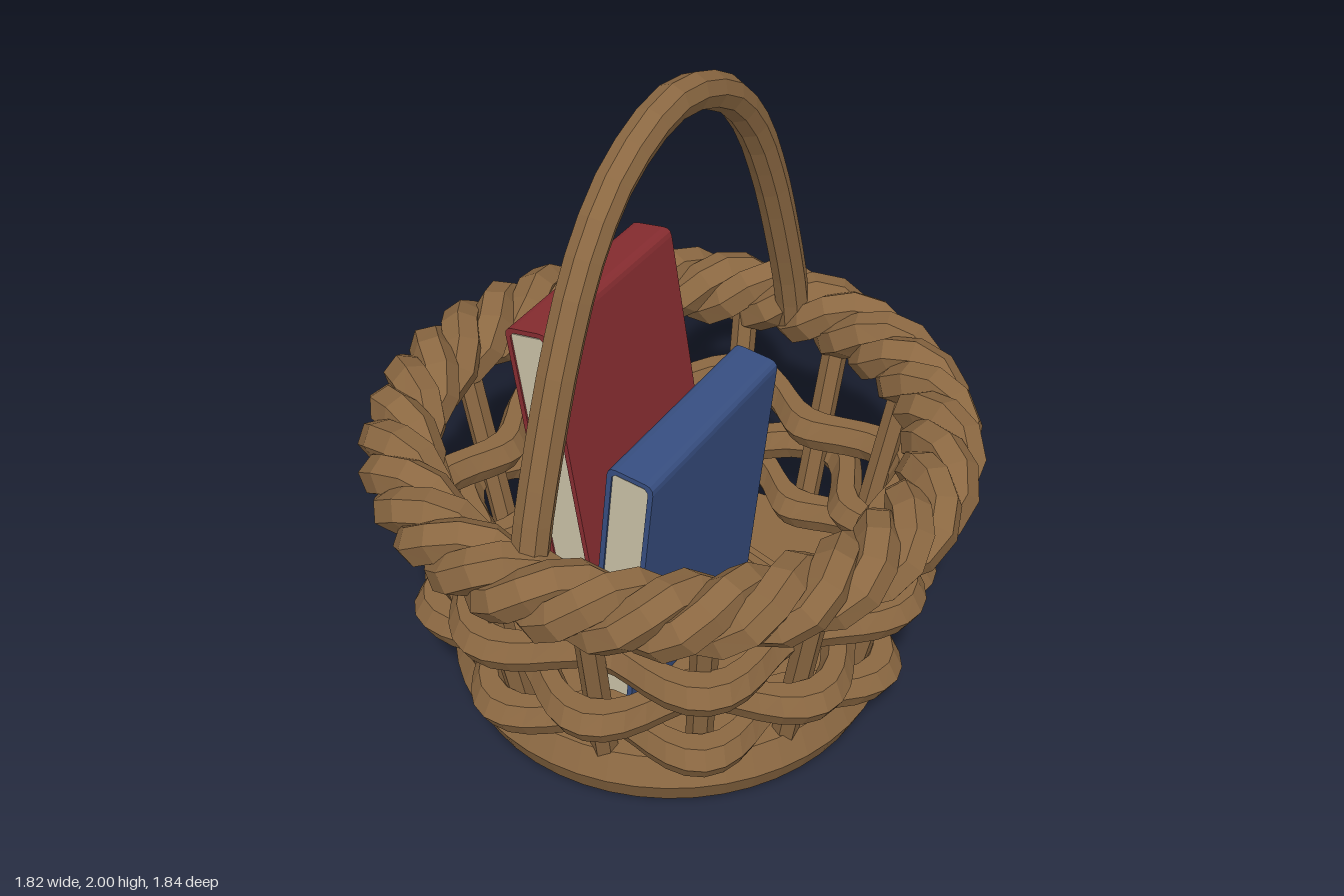
import * as THREE from 'three';

const mat = (name, color, flatShading = true) => {
  const m = new THREE.MeshStandardMaterial({ color, flatShading });
  m.name = name;
  return m;
};

// Three interlocked strands: one closed helix that laps the rim three times
class RimCurve extends THREE.Curve {
  getPoint(t, target = new THREE.Vector3()) {
    const around = t * Math.PI * 6, twist = t * Math.PI * 64;
    const r = 0.79 + 0.066 * Math.cos(twist);
    return target.set(r * Math.sin(around), 0.857 + 0.06 * Math.sin(twist), r * Math.cos(around));
  }
}

export function createModel() {
  const wicker = mat('wicker brown', 0x8b6842);
  const red = mat('red cover', 0x862c30);
  const blue = mat('blue cover', 0x374e80);
  const paper = mat('paper cream', 0xc8c0a6);

  const model = new THREE.Group();
  model.name = 'basketWithBooks';
  const add = (name, geometry, material, parent = model) => {
    const mesh = new THREE.Mesh(geometry, material);
    mesh.name = name;
    parent.add(mesh);
    return mesh;
  };

  // Solid round base with a bulging edge
  const profile = [[0, 0], [0.645, 0], [0.68, 0.08], [0.64, 0.165], [0, 0.165]];
  add('base', new THREE.LatheGeometry(profile.map(p => new THREE.Vector2(...p)), 48), wicker);

  // Low ring on the basket floor
  const floorRing = new THREE.TorusGeometry(0.37, 0.024, 6, 12);
  floorRing.rotateX(Math.PI / 2);
  add('floorRing', floorRing, wicker).position.y = 0.168;

  // Upright stakes, leaning outward
  const STAKES = 14;
  const up = new THREE.Vector3(0, 1, 0);
  for (let i = 0; i < STAKES; i++) {
    const a = (i / STAKES) * Math.PI * 2;
    const at = (r, y) => new THREE.Vector3(r * Math.cos(a), y, r * Math.sin(a));
    const low = at(0.605, 0.12), high = at(0.757, 0.86);
    const dir = high.clone().sub(low);
    const stake = add('stake', new THREE.CylinderGeometry(0.04, 0.04, dir.length(), 6), wicker);
    stake.position.copy(low).add(high).multiplyScalar(0.5);
    stake.quaternion.setFromUnitVectors(up, dir.normalize());
  }

  // Woven rows, passing alternately outside and inside the stakes
  const rows = [[0.248, 0.638, 1], [0.388, 0.667, -1], [0.543, 0.693, 1]];
  for (const [y, radius, side] of rows) {
    const g = new THREE.TorusGeometry(radius, 0.063, 6, STAKES * 6);
    g.rotateX(Math.PI / 2);
    const p = g.attributes.position;
    for (let i = 0; i < p.count; i++) {
      const x = p.getX(i), z = p.getZ(i);
      const a = Math.atan2(z, x);
      const r = Math.hypot(x, z) + side * 0.078 * Math.cos(a * STAKES / 2);
      p.setXYZ(i, r * Math.cos(a), p.getY(i), r * Math.sin(a));
    }
    g.computeVertexNormals();
    add('wovenRow', g, wicker).position.y = y;
  }

  // Twisted rim
  const rim = new RimCurve();
  rim.arcLengthDivisions = 2000;
  add('twistedRim', new THREE.TubeGeometry(rim, 256, 0.064, 6, true), wicker);

  // Arched handle
  const half = [[0.745, 0.82], [0.717, 0.97], [0.64, 1.22], [0.54, 1.48], [0.42, 1.7], [0.26, 1.86]];
  const arch = [...half, [0, 1.945], ...half.map(([z, y]) => [-z, y]).reverse()];
  const handlePath = new THREE.CatmullRomCurve3(arch.map(([z, y]) => new THREE.Vector3(0, y, z)));
  add('handle', new THREE.TubeGeometry(handlePath, 28, 0.055, 8), wicker);

  // Book standing spine-up: folded cover around a page block
  const addBook = (name, cover, w, h, depth, x, y, z, lean) => {
    const book = new THREE.Group();
    book.name = name;
    const X = w / 2, Y = h / 2, t = 0.016, r = 0.028;
    const s = new THREE.Shape();
    s.moveTo(-X, -Y);
    s.lineTo(-X + t, -Y);
    s.lineTo(-X + t, Y - r);
    s.lineTo(-X + r, Y - t);
    s.lineTo(X - r, Y - t);
    s.lineTo(X - t, Y - r);
    s.lineTo(X - t, -Y);
    s.lineTo(X, -Y);
    s.lineTo(X, Y - r);
    s.quadraticCurveTo(X, Y, X - r, Y);
    s.lineTo(-X + r, Y);
    s.quadraticCurveTo(-X, Y, -X, Y - r);
    s.closePath();
    const shell = new THREE.ExtrudeGeometry(s, { depth, bevelEnabled: false, curveSegments: 3 });
    shell.translate(0, 0, -depth / 2);
    add('cover', shell, cover, book);
    const pages = add('pages', new THREE.BoxGeometry(w - 2 * t, h - t - 0.014, depth - 0.012), paper, book);
    pages.position.y = -t / 2;
    book.position.set(x, y, z);
    book.rotation.z = lean;
    model.add(book);
  };
  addBook('redBook', red, 0.15, 1.0, 0.685, -0.332, 0.659, -0.2, 0.157);
  addBook('blueBook', blue, 0.148, 0.9, 0.685, 0.107, 0.618, 0.12, -0.1);

  return model;
}
